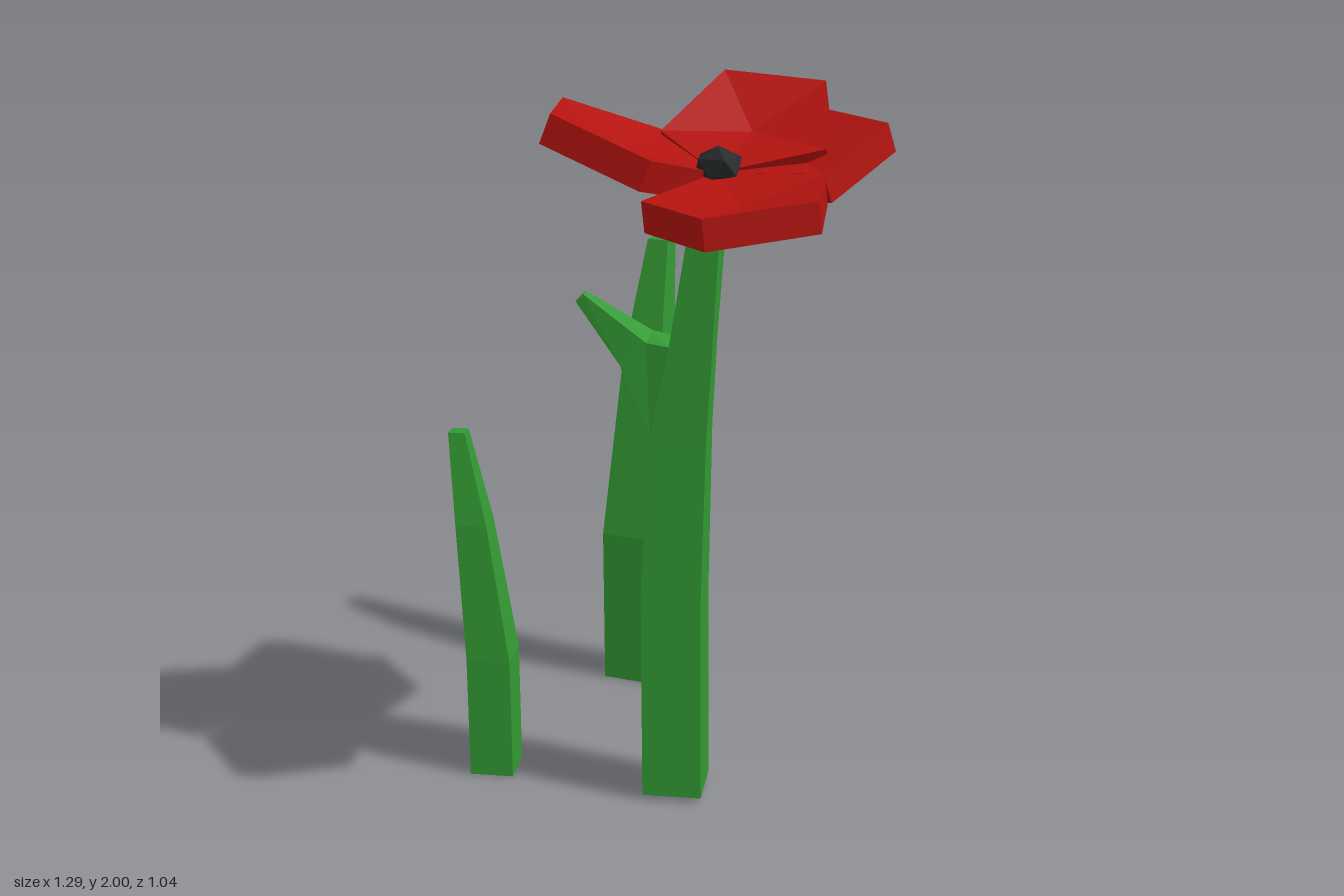
import * as THREE from 'three';

const material = (color) => new THREE.MeshStandardMaterial({ color, flatShading: true });
const vec = (p) => new THREE.Vector3(...p);

// Closed solid through rings of points; each ring runs counter-clockwise seen from the end.
// dish moves the centre of the end cap along its normal.
function loft(rings, dish = new THREE.Vector3()) {
  const pos = [];
  const tri = (...pts) => pts.forEach((p) => pos.push(p.x, p.y, p.z));
  const middle = (ring) => ring.reduce((s, p) => s.add(p), new THREE.Vector3()).divideScalar(ring.length);
  const n = rings[0].length;
  const first = rings[0], last = rings[rings.length - 1];
  const bottom = middle(first), top = middle(last).add(dish);
  for (let j = 0; j < n; j++) {
    const k = (j + 1) % n;
    for (let i = 0; i + 1 < rings.length; i++) {
      const a = rings[i], b = rings[i + 1];
      tri(a[j], a[k], b[k]);
      tri(a[j], b[k], b[j]);
    }
    tri(bottom, first[k], first[j]);
    tri(top, last[j], last[k]);
  }
  const geo = new THREE.BufferGeometry();
  geo.setAttribute('position', new THREE.Float32BufferAttribute(pos, 3));
  geo.computeVertexNormals();
  return geo;
}

// Grass blade: one four-sided section, scaled and moved along the height
function blade(section, levels) {
  return loft(levels.map(([x, y, z, s]) =>
    section.map(([dx, dz]) => new THREE.Vector3(x + dx * s, y, z + dz * s))));
}

// Petal: thick pentagon with a dished upper face
function petal(points) {
  const top = points.map(vec);
  const normal = top[2].clone().sub(top[1]).cross(top[3].clone().sub(top[1])).normalize();
  const under = top.map((p) => p.clone().addScaledVector(normal, -0.082));
  return loft([under, top], normal.clone().multiplyScalar(-0.04));
}

export function createModel() {
  const model = new THREE.Group();
  const green = material(0x339933);
  const red = material(0xb3130f);
  const black = material(0x222626);
  const add = (name, geo, mat, parent = model) => {
    const mesh = new THREE.Mesh(geo, mat);
    mesh.name = name;
    parent.add(mesh);
    return mesh;
  };

  // Grass blades
  add('tallBlade', blade(
    [[0.108, 0.052], [0.05, -0.105], [-0.107, -0.055], [-0.052, 0.107]],
    [[-0.538, 0, -0.358, 1], [-0.538, 0.49, -0.358, 1], [-0.54, 1.05, -0.42, 0.74], [-0.542, 1.41, -0.483, 0.39]],
  ), green);
  add('shortBlade', blade(
    [[0.085, 0.017], [0.02, -0.085], [-0.084, -0.017], [-0.02, 0.085]],
    [[-0.404, 0, 0.414, 1], [-0.404, 0.36, 0.414, 1], [-0.445, 0.76, 0.43, 0.71], [-0.49, 1.02, 0.437, 0.38]],
  ), green);

  // Stem: corners front, right, back, left at each height
  const stemLevels = [
    [0.015, [[0.06, 0.29], [0.2, 0.2], [0.11, 0.06], [-0.03, 0.15]]],
    [0.63, [[0.06, 0.29], [0.2, 0.2], [0.11, 0.06], [-0.03, 0.15]]],
    [1.08, [[0.08, 0.27], [0.21, 0.19], [0.13, 0.07], [0, 0.14]]],
    [1.33, [[0.122, 0.24], [0.222, 0.18], [0.155, 0.08], [0.055, 0.14]]],
    [1.77, [[0.175, 0.19], [0.235, 0.155], [0.2, 0.085], [0.14, 0.125]]],
  ];
  const stem = stemLevels.map(([y, ring]) => ring.map(([x, z]) => new THREE.Vector3(x, y, z)));
  add('stem', loft(stem), green);

  // Side shoot growing out of the front left face of the stem
  add('sideShoot', loft([
    [stem[2][3], stem[2][0], stem[3][0], stem[3][3]],
    [[-0.035, 1.25, 0.215], [0, 1.27, 0.298], [0.06, 1.335, 0.26], [0.02, 1.35, 0.19]].map(vec),
    [[-0.115, 1.445, 0.33], [-0.105, 1.44, 0.355], [-0.085, 1.46, 0.345], [-0.095, 1.465, 0.325]].map(vec),
  ]), green);

  // Flower: four overlapping petals meeting at the heart
  const flower = new THREE.Group();
  flower.name = 'flower';
  model.add(flower);
  const heart = [0.2, 1.79, 0.14];
  const petals = {
    rightPetal: [[-0.07, 1.86, 0.04], [-0.21, 1.96, 0.28], [-0.045, 1.96, 0.495], [0.22, 1.86, 0.415]],
    leftPetal: [[0.2, 1.76, 0.43], [0.47, 1.765, 0.515], [0.64, 1.795, 0.28], [0.49, 1.81, 0.06]],
    backRightPetal: [[0.395, 1.845, -0.07], [0.235, 1.985, -0.275], [-0.04, 2, -0.18], [-0.04, 1.866, 0.085]],
    backLeftPetal: [[0.485, 1.81, 0.06], [0.485, 1.905, -0.215], [0.21, 1.905, -0.3], [0.04, 1.81, -0.08]],
  };
  for (const [name, corners] of Object.entries(petals)) {
    add(name, petal([heart, ...corners]), red, flower);
  }

  // Dark heart of the flower, a corner pointing up
  const core = new THREE.IcosahedronGeometry(0.068, 0);
  core.rotateZ(Math.atan(2 / (1 + Math.sqrt(5))));
  core.scale(1, 0.75, 1);
  add('heart', core, black, flower).position.set(0.207, 1.81, 0.14);

  return model;
}
